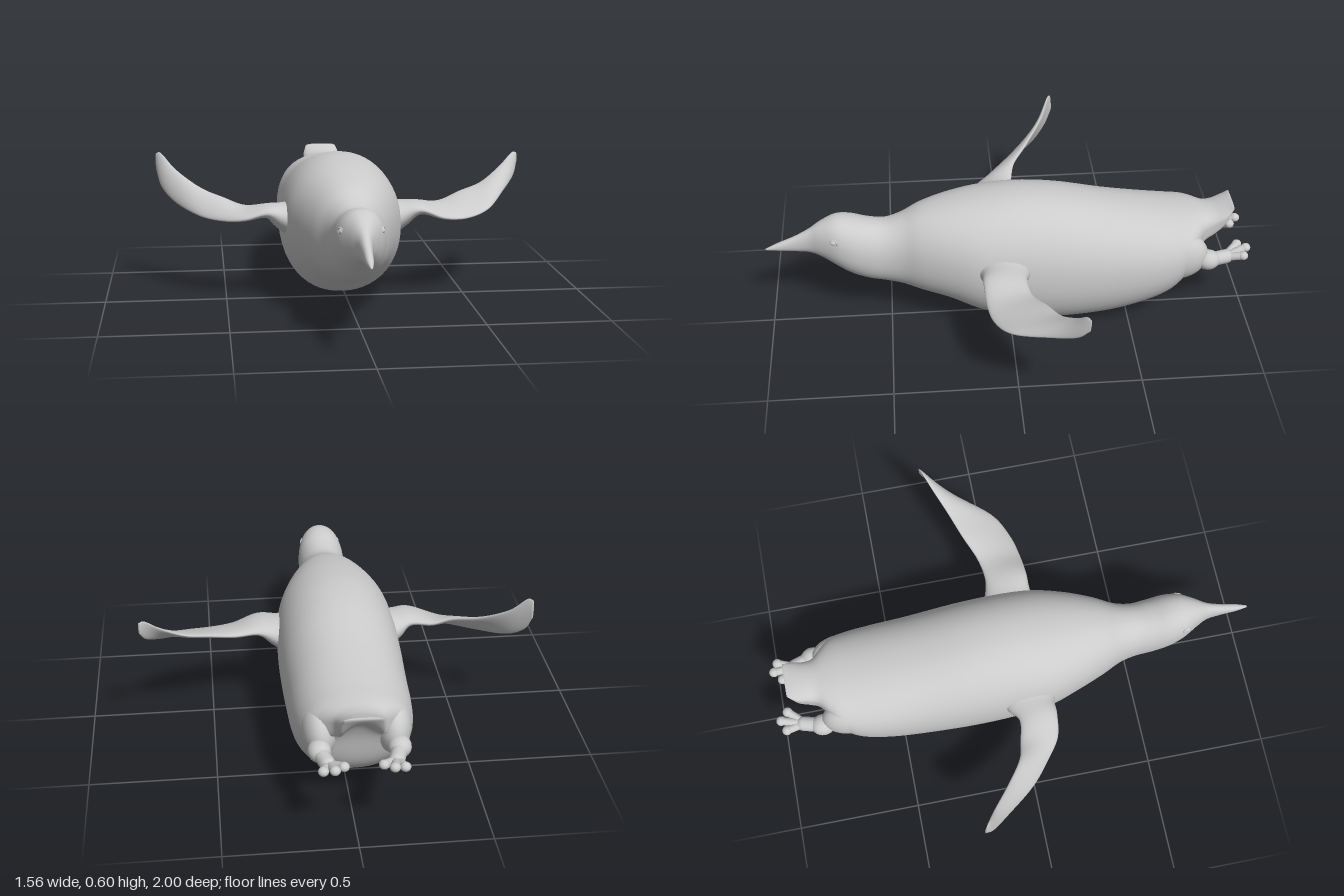
import * as THREE from 'three';

const V = (x, y, z) => new THREE.Vector3(x, y, z);
const CX = -0.02; // body's middle plane
const material = new THREE.MeshStandardMaterial({ color: 0xcccccc, roughness: 0.8 });

function addMesh(parent, name, geometry) {
  const mesh = new THREE.Mesh(geometry, material);
  mesh.name = name;
  parent.add(mesh);
  return mesh;
}

// Smooth closed skin over rings; pointAt(t, angle) gives a point on the surface.
function loft(pointAt, rows, cols) {
  const pos = [], idx = [];
  const ends = [V(0, 0, 0), V(0, 0, 0)];
  for (let i = 0; i <= rows; i++) {
    for (let j = 0; j < cols; j++) {
      const p = pointAt(i / rows, (j / cols) * Math.PI * 2);
      pos.push(p.x, p.y, p.z);
      if (i === 0) ends[0].addScaledVector(p, 1 / cols);
      if (i === rows) ends[1].addScaledVector(p, 1 / cols);
    }
  }
  const first = (rows + 1) * cols, last = first + 1;
  for (const e of ends) pos.push(e.x, e.y, e.z);
  for (let j = 0; j < cols; j++) {
    const k = (j + 1) % cols;
    for (let i = 0; i < rows; i++) {
      const a = i * cols + j, b = i * cols + k;
      idx.push(a, a + cols, b, b, a + cols, b + cols);
    }
    idx.push(first, j, k, last, rows * cols + k, rows * cols + j);
  }
  const g = new THREE.BufferGeometry();
  g.setAttribute('position', new THREE.Float32BufferAttribute(pos, 3));
  g.setIndex(idx);
  g.computeVertexNormals();
  return g;
}

const spline = (points) => new THREE.CatmullRomCurve3(points, false, 'catmullrom', 0.5);
const signedPow = (v, p) => Math.sign(v) * Math.pow(Math.abs(v), p);

// Beak, head, torso and tail: z, top, bottom, half width, hollow underside
function bodyGeometry() {
  const stations = [
    [1.0, 0.368, 0.362, 0.004, 0], [0.95, 0.392, 0.358, 0.014, 0],
    [0.88, 0.422, 0.352, 0.02, 0], [0.82, 0.455, 0.345, 0.03, 0],
    [0.77, 0.488, 0.325, 0.055, 0], [0.71, 0.513, 0.285, 0.086, 0],
    [0.65, 0.51, 0.245, 0.1, 0], [0.58, 0.49, 0.215, 0.102, 0],
    [0.51, 0.482, 0.198, 0.102, 0], [0.44, 0.502, 0.18, 0.117, 0],
    [0.36, 0.54, 0.153, 0.155, 0], [0.25, 0.57, 0.12, 0.198, 0],
    [0.12, 0.592, 0.06, 0.235, 0], [-0.03, 0.603, 0.018, 0.246, 0],
    [-0.2, 0.588, 0.003, 0.247, 0], [-0.4, 0.545, 0.022, 0.24, 0],
    [-0.55, 0.518, 0.065, 0.234, 0], [-0.66, 0.502, 0.12, 0.221, 0],
    [-0.73, 0.495, 0.2, 0.196, 0], [-0.77, 0.49, 0.31, 0.145, 0.3],
    [-0.81, 0.485, 0.36, 0.098, 0.8], [-0.85, 0.488, 0.39, 0.086, 1],
    [-0.89, 0.5, 0.432, 0.084, 0.9], [-0.925, 0.513, 0.498, 0.07, 0.3],
  ];
  const centre = spline(stations.map(([z, a, b]) => V(CX, (a + b) / 2, z)));
  const size = spline(stations.map(([, a, b, w, h]) => V(w, (a - b) / 2, h)));
  return loft((t, angle) => {
    const c = centre.getPoint(t), s = size.getPoint(t);
    const x = signedPow(Math.cos(angle), 0.92);
    let y = signedPow(Math.sin(angle), 0.92);
    if (y < 0) y = y * (1 - s.z) + s.z * 4 * y * (1 + y);
    return V(c.x + x * s.x, c.y + y * s.y, c.z);
  }, 120, 56);
}

// Flipper: x, leading z and y, trailing z and y, half thickness
function flipperGeometry(stations) {
  const lead = spline(stations.map(([x, z, y]) => V(x, y, z)));
  const trail = spline(stations.map(([x, , , z, y]) => V(x, y, z)));
  const thick = spline(stations.map((s) => V(s[5], 0, 0)));
  const mid = (t) => lead.getPoint(t).add(trail.getPoint(t)).multiplyScalar(0.5);
  return loft((t, angle) => {
    const c = mid(t);
    const span = mid(Math.min(1, t + 0.01)).sub(mid(Math.max(0, t - 0.01)));
    const chord = lead.getPoint(t).sub(trail.getPoint(t)).multiplyScalar(0.5);
    const normal = chord.clone().cross(span).normalize();
    return c.addScaledVector(chord, Math.cos(angle))
      .addScaledVector(normal, Math.sin(angle) * thick.getPoint(t).x);
  }, 48, 28);
}

function ellipsoid(parent, name, centre, radii) {
  const mesh = addMesh(parent, name, new THREE.SphereGeometry(1, 24, 16));
  mesh.position.copy(centre);
  mesh.scale.copy(radii);
  return mesh;
}

function capsule(parent, name, a, b, r) {
  const dir = b.clone().sub(a);
  const mesh = addMesh(parent, name, new THREE.CapsuleGeometry(r, dir.length(), 6, 14));
  mesh.position.copy(a).lerp(b, 0.5);
  mesh.quaternion.setFromUnitVectors(V(0, 1, 0), dir.normalize());
  return mesh;
}

// Thigh, ankle, shank and three toes
function buildLeg(side) {
  const leg = new THREE.Group();
  leg.name = side > 0 ? 'leftLeg' : 'rightLeg';
  const at = (x, y, z) => V(CX + side * x, y, z);
  ellipsoid(leg, 'thigh', at(0.138, 0.335, -0.69), V(0.07, 0.11, 0.125));
  ellipsoid(leg, 'ankle', at(0.148, 0.312, -0.815), V(0.044, 0.042, 0.05));
  capsule(leg, 'shank', at(0.143, 0.31, -0.84), at(0.126, 0.307, -0.895), 0.03);
  const tips = [[0.147, 0.322, -0.963], [0.107, 0.334, -0.98], [0.072, 0.328, -0.95]];
  for (const [x, y, z] of tips) {
    const tip = at(x, y, z);
    capsule(leg, 'toe', at(0.124, 0.302, -0.89), tip, 0.017);
    ellipsoid(leg, 'toePad', tip, V(0.02, 0.018, 0.02));
  }
  return leg;
}

export function createModel() {
  const bird = new THREE.Group();
  bird.name = 'swimmingBird';
  addMesh(bird, 'body', bodyGeometry());

  addMesh(bird, 'rightFlipper', flipperGeometry([
    [-0.16, 0.17, 0.33, -0.1, 0.33, 0.1], [-0.26, 0.13, 0.36, -0.07, 0.36, 0.06],
    [-0.33, 0.125, 0.385, -0.03, 0.385, 0.028], [-0.42, 0.11, 0.36, -0.045, 0.388, 0.02],
    [-0.5, 0.055, 0.345, -0.065, 0.42, 0.017], [-0.6, -0.03, 0.35, -0.13, 0.455, 0.014],
    [-0.7, -0.15, 0.385, -0.2, 0.52, 0.012], [-0.76, -0.22, 0.44, -0.235, 0.585, 0.009],
    [-0.783, -0.255, 0.51, -0.25, 0.585, 0.004],
  ]));
  addMesh(bird, 'leftFlipper', flipperGeometry([
    [0.12, 0.17, 0.33, -0.1, 0.33, 0.1], [0.22, 0.13, 0.36, -0.07, 0.36, 0.06],
    [0.3, 0.125, 0.385, -0.05, 0.385, 0.028], [0.4, 0.118, 0.35, -0.065, 0.388, 0.02],
    [0.5, 0.095, 0.345, -0.11, 0.42, 0.017], [0.6, 0.035, 0.37, -0.15, 0.45, 0.014],
    [0.69, -0.1, 0.42, -0.195, 0.51, 0.012], [0.75, -0.19, 0.465, -0.225, 0.563, 0.009],
    [0.775, -0.235, 0.515, -0.238, 0.565, 0.004],
  ]));

  for (const side of [-1, 1]) {
    bird.add(buildLeg(side));
    // Eye and its lid ridge
    const eye = ellipsoid(bird, side > 0 ? 'leftEye' : 'rightEye',
      V(CX + side * 0.074, 0.437, 0.715), V(0.012, 0.012, 0.016));
    const lid = addMesh(bird, 'eyelid', new THREE.TorusGeometry(0.016, 0.004, 8, 20));
    lid.position.copy(eye.position).x += side * 0.004;
    lid.rotation.y = side * 1.1;
    lid.scale.y = 0.75;
  }
  return bird;
}
